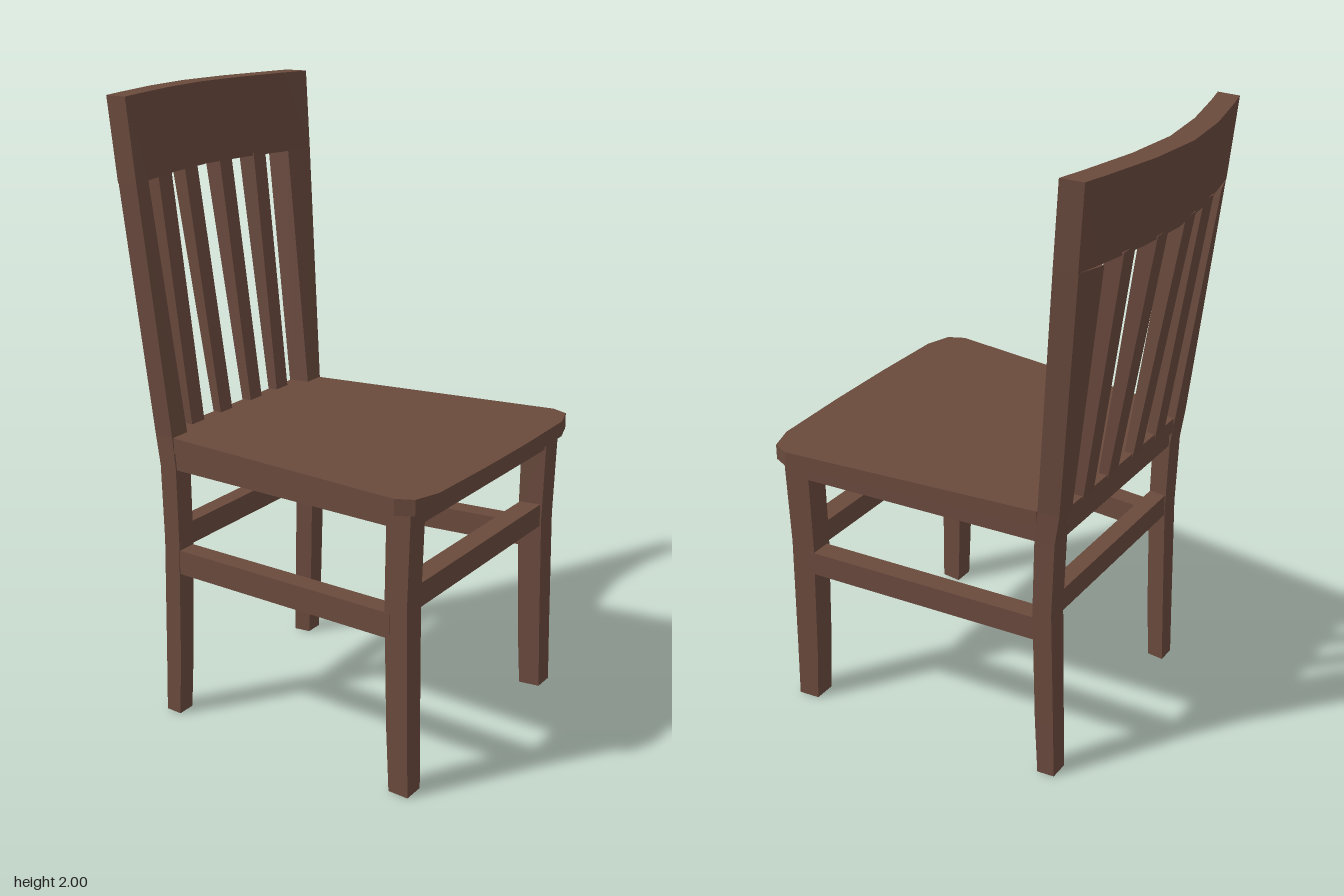
import * as THREE from 'three';

const wood = new THREE.MeshStandardMaterial({ color: 0x6a4a3d, flatShading: true });

// Solid skinned over matching rings of [x, y, z] corners, capped at both ends
function loft(name, rings) {
  const tris = [];
  const n = rings[0].length;
  for (let r = 0; r < rings.length - 1; r++) {
    for (let i = 0; i < n; i++) {
      const j = (i + 1) % n;
      const a = rings[r][i], b = rings[r][j], c = rings[r + 1][j], d = rings[r + 1][i];
      tris.push([a, b, c], [a, c, d]);
    }
  }
  const first = rings[0], last = rings[rings.length - 1];
  for (let i = 1; i < n - 1; i++) {
    tris.push([first[0], first[i + 1], first[i]], [last[0], last[i], last[i + 1]]);
  }
  // Turn every face outward whichever way the rings were listed
  let volume = 0;
  for (const [a, b, c] of tris) {
    volume += new THREE.Vector3(...a).dot(new THREE.Vector3(...b).cross(new THREE.Vector3(...c)));
  }
  if (volume < 0) tris.forEach((t) => t.reverse());
  const geometry = new THREE.BufferGeometry();
  geometry.setAttribute('position', new THREE.Float32BufferAttribute(tris.flat(2), 3));
  geometry.computeVertexNormals();
  const mesh = new THREE.Mesh(geometry, wood);
  mesh.name = name;
  return mesh;
}

// Flat plan of [x, z] corners given thickness from y0 to y1
const slab = (name, plan, y0, y1) =>
  loft(name, [y0, y1].map((y) => plan.map(([x, z]) => [x, y, z])));

// Upright part from levels [y, x0, x1, z0, z1, skew]; its sides taper toward the back
// and skew sets the inner edge back to follow the bowed rail
const upright = (name, levels, side) =>
  loft(name, levels.map(([y, x0, x1, z0, z1, skew = 0]) => {
    const taper = (x1 - x0) * 0.1;
    return [[x0 + skew, y, (z0 - taper) * side], [x1 + skew, y, z0 * side],
      [x1, y, z1 * side], [x0, y, (z1 - taper) * side]];
  }));

// Bar between the two legs at the front or the back
const crossBar = (name, x0, x1, halfZ, y0, y1) =>
  slab(name, [[x0, -halfZ], [x1, -halfZ], [x1, halfZ], [x0, halfZ]], y0, y1);

// Mirror half a plan across the centre line
const mirrored = (half) => [...half, ...half.map(([x, z]) => [x, -z]).reverse()];

export function createModel() {
  const chair = new THREE.Group();
  chair.name = 'chair';

  // Seat board, wider at the front with clipped corners, on a solid tapered base
  chair.add(slab('seat', mirrored([[-0.42, 0.35], [-0.35, 0.415], [0.505, 0.512],
    [0.56, 0.487], [0.588, 0.4], [0.595, 0.13]]), 0.9, 0.95));
  chair.add(slab('seatBase', mirrored([[-0.406, 0.406], [0.532, 0.474]]), 0.845, 0.9));

  for (const side of [1, -1]) {
    const label = side > 0 ? 'left' : 'right';

    chair.add(upright(label + 'FrontLeg', [
      [0, 0.47, 0.54, 0.402, 0.475], [0.2, 0.46, 0.536, 0.399, 0.475],
      [0.6, 0.45, 0.53, 0.394, 0.475], [0.9, 0.455, 0.54, 0.394, 0.477],
    ], side));

    // Back leg running up into the leaning back post
    chair.add(upright(label + 'BackLegAndPost', [
      [0, -0.417, -0.36, 0.348, 0.412], [0.2, -0.412, -0.35, 0.346, 0.413],
      [0.6, -0.402, -0.34, 0.344, 0.416], [0.85, -0.41, -0.345, 0.342, 0.416],
      [0.95, -0.425, -0.355, 0.341, 0.417], [1.74, -0.498, -0.423, 0.373, 0.463, -0.028],
    ], side));

    const stretcher = [[-0.35, 0.345], [0.47, 0.4], [0.47, 0.47], [-0.35, 0.412]];
    chair.add(slab(label + 'Stretcher', stretcher.map(([x, z]) => [x, z * side]), 0.497, 0.577));

    // Slats, thicker and spread further apart at the top
    chair.add(upright(label + 'InnerSlat', [
      [0.94, -0.422, -0.39, 0.052, 0.115], [1.75, -0.56, -0.506, 0.06, 0.125]], side));
    chair.add(upright(label + 'OuterSlat', [
      [0.94, -0.422, -0.39, 0.204, 0.268], [1.75, -0.54, -0.484, 0.219, 0.285]], side));
  }

  chair.add(crossBar('frontStretcher', 0.455, 0.525, 0.4, 0.58, 0.655));
  chair.add(crossBar('backStretcher', -0.4, -0.343, 0.35, 0.58, 0.655));

  // Curved top rail, middle to end: [back x, back z, front x, front z, back lean, front lean]
  const bow = [
    [-0.6, 0, -0.525, 0, 0.035, 0.013], [-0.582, 0.19, -0.507, 0.19, 0.032, 0.014],
    [-0.542, 0.38, -0.468, 0.38, 0.026, 0.017], [-0.52, 0.47, -0.445, 0.475, 0.022, 0.022],
  ];
  const section = ([bx, bz, fx, fz, backLean, frontLean], side) => [
    [bx + backLean, 1.74, bz * side * 0.975], [fx + frontLean, 1.74, fz * side * 0.975],
    [fx, 2, fz * side], [bx, 2, bz * side]];
  chair.add(loft('topRail', [
    ...bow.slice(1).reverse().map((s) => section(s, -1)), ...bow.map((s) => section(s, 1))]));

  return chair;
}
